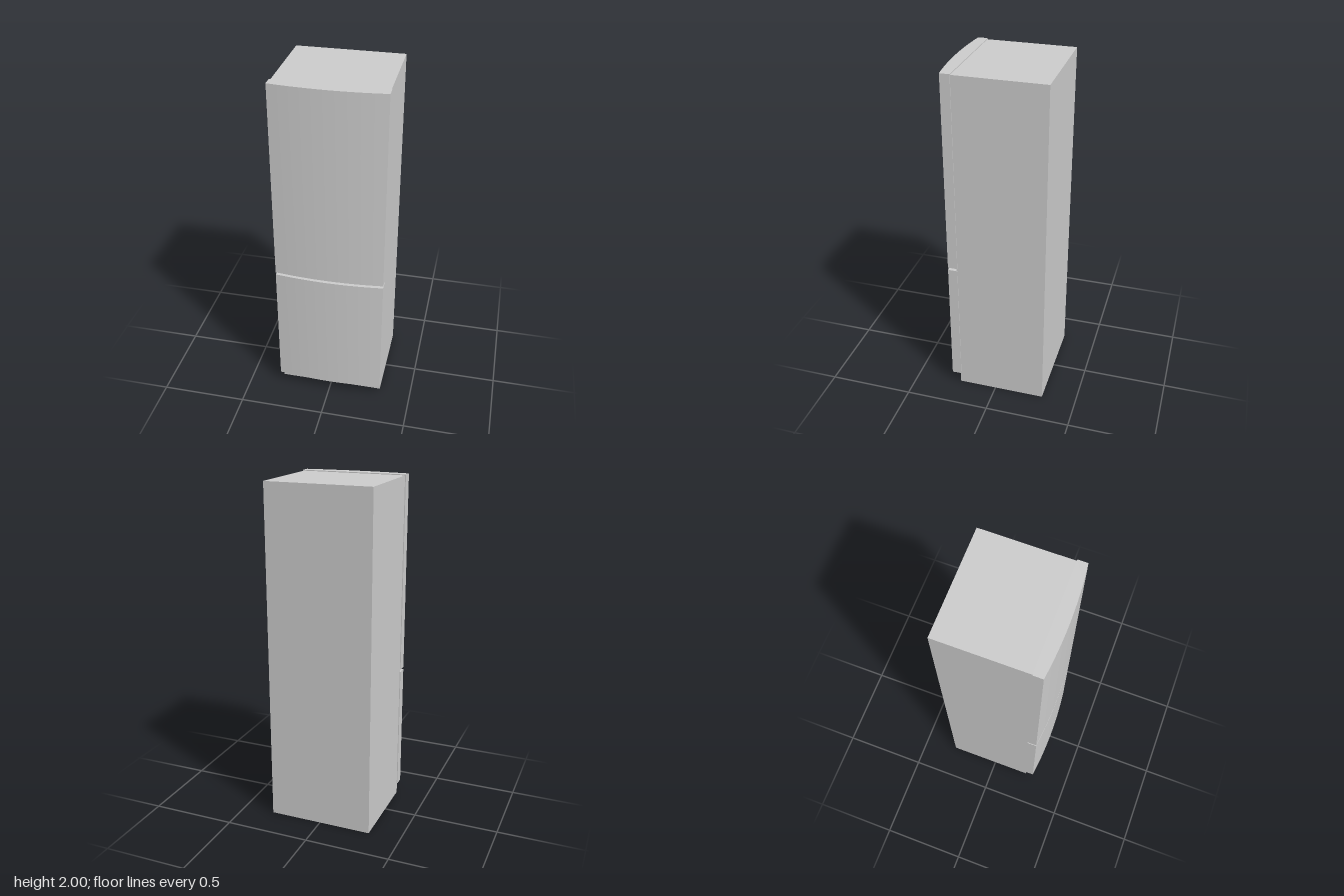
import * as THREE from 'three';
import { toCreasedNormals } from 'three/addons/utils/BufferGeometryUtils.js';

const material = new THREE.MeshStandardMaterial({ color: 0xcccccc });

// Door slab with a gently bowed front, spanning y0 to y1
function makeDoor(name, y0, y1) {
  const half = 0.315, back = 0.22, edge = 0.276, bow = 0.02, steps = 12;
  // Shape is drawn in x and -z, then extruded upwards
  const shape = new THREE.Shape();
  shape.moveTo(half, -back);
  shape.lineTo(-half, -back);
  for (let i = 0; i <= steps; i++) {
    const t = (2 * i) / steps - 1;
    shape.lineTo(t * half, -(edge + bow * (1 - t * t)));
  }
  shape.closePath();
  const geometry = new THREE.ExtrudeGeometry(shape, { depth: y1 - y0, bevelEnabled: false });
  geometry.rotateX(-Math.PI / 2);
  const door = new THREE.Mesh(toCreasedNormals(geometry, 0.5), material);
  door.position.y = y0;
  door.name = name;
  return door;
}

export function createModel() {
  const model = new THREE.Group();
  model.name = 'refrigerator';

  // Cabinet, a little narrower and lower than the doors
  const back = -0.296, front = 0.225, height = 1.995;
  const cabinet = new THREE.Mesh(new THREE.BoxGeometry(0.62, height, front - back), material);
  cabinet.position.set(0, height / 2, (front + back) / 2);
  cabinet.name = 'cabinet';
  model.add(cabinet);

  // Doors, separated by a narrow gap
  model.add(makeDoor('freezerDoor', 0.066, 0.824));
  model.add(makeDoor('fridgeDoor', 0.839, 2));

  return model;
}
